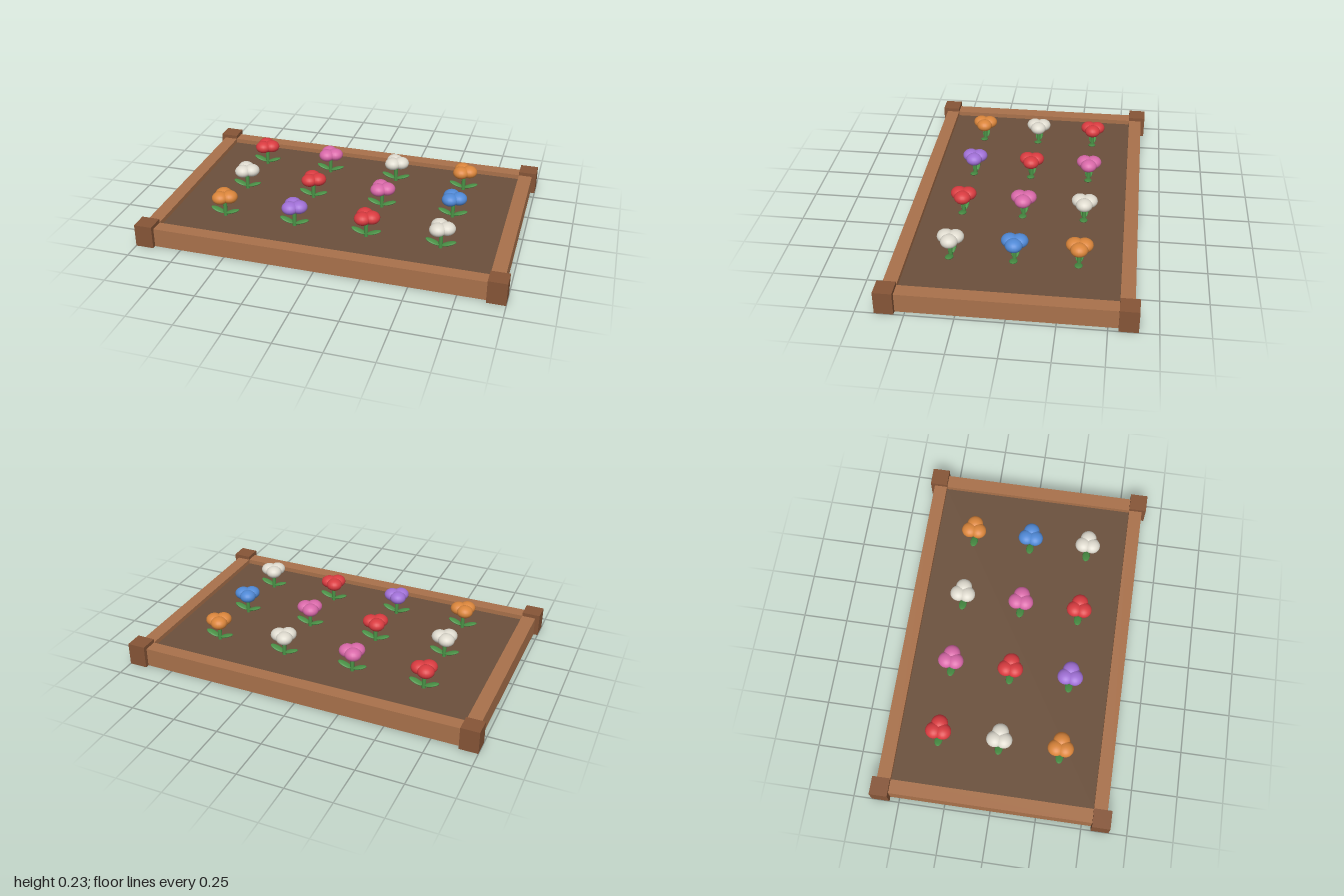
import * as THREE from 'three';

const mat = (name, color) => {
  const m = new THREE.MeshStandardMaterial({ color });
  m.name = name;
  return m;
};

export function createModel() {
  const bed = new THREE.Group();
  bed.name = 'flowerBed';

  const railWood = mat('railWood', 0xa9714b);
  const postWood = mat('postWood', 0x865537);
  const soilBrown = mat('soilBrown', 0x6b503c);
  const leafGreen = mat('leafGreen', 0x4a9146);
  const bloom = {
    red: mat('redPetal', 0xd93b40),
    pink: mat('pinkPetal', 0xd868a8),
    white: mat('whitePetal', 0xdedace),
    orange: mat('orangePetal', 0xda853b),
    blue: mat('bluePetal', 0x5089d6),
    purple: mat('purplePetal', 0xa070d6),
  };

  const add = (parent, name, geometry, material, x, y, z) => {
    const mesh = new THREE.Mesh(geometry, material);
    mesh.name = name;
    mesh.position.set(x, y, z);
    parent.add(mesh);
    return mesh;
  };

  // Soil slab inside the frame
  add(bed, 'soil', new THREE.BoxGeometry(1.804, 0.076, 1.11), soilBrown, 0, 0.042, 0);

  // Frame rails
  const longRail = new THREE.BoxGeometry(1.804, 0.106, 0.074);
  const shortRail = new THREE.BoxGeometry(0.076, 0.106, 1.11);
  for (const s of [-1, 1]) {
    add(bed, s > 0 ? 'frontRail' : 'backRail', longRail, railWood, 0, 0.053, s * 0.59);
    add(bed, s > 0 ? 'leftRail' : 'rightRail', shortRail, railWood, s * 0.938, 0.053, 0);
  }

  // Corner posts
  const post = new THREE.BoxGeometry(0.1, 0.127, 0.098);
  for (const x of [-0.95, 0.95])
    for (const z of [-0.601, 0.601]) add(bed, 'cornerPost', post, postWood, x, 0.0635, z);

  // Flower parts
  const petal = new THREE.SphereGeometry(0.046, 20, 14).scale(1, 0.75, 1);
  const stem = new THREE.CylinderGeometry(0.011, 0.011, 0.115, 12);
  const leaf = new THREE.SphereGeometry(1, 16, 10).scale(0.043, 0.008, 0.022);

  const makeFlower = (color) => {
    const flower = new THREE.Group();
    flower.name = color + 'Flower';
    add(flower, 'stem', stem, leafGreen, 0, 0.1325, 0);
    for (const s of [-1, 1]) {
      const l = add(flower, 'leaf', leaf, leafGreen, s * 0.042, 0.109, 0);
      l.rotation.z = s * 0.35;
    }
    for (let i = 0; i < 3; i++) {
      const a = (i * Math.PI * 2) / 3;
      add(flower, 'petal', petal, bloom[color], Math.cos(a) * 0.029, 0.199, Math.sin(a) * 0.029);
    }
    return flower;
  };

  // Planting grid, back row first
  const rows = [
    ['red', 'pink', 'white', 'orange'],
    ['white', 'red', 'pink', 'blue'],
    ['orange', 'purple', 'red', 'white'],
  ];
  rows.forEach((row, r) => row.forEach((color, c) => {
    const flower = makeFlower(color);
    flower.position.set((c - 1.5) * 0.404, 0, (r - 1) * 0.333);
    bed.add(flower);
  }));

  return bed;
}
